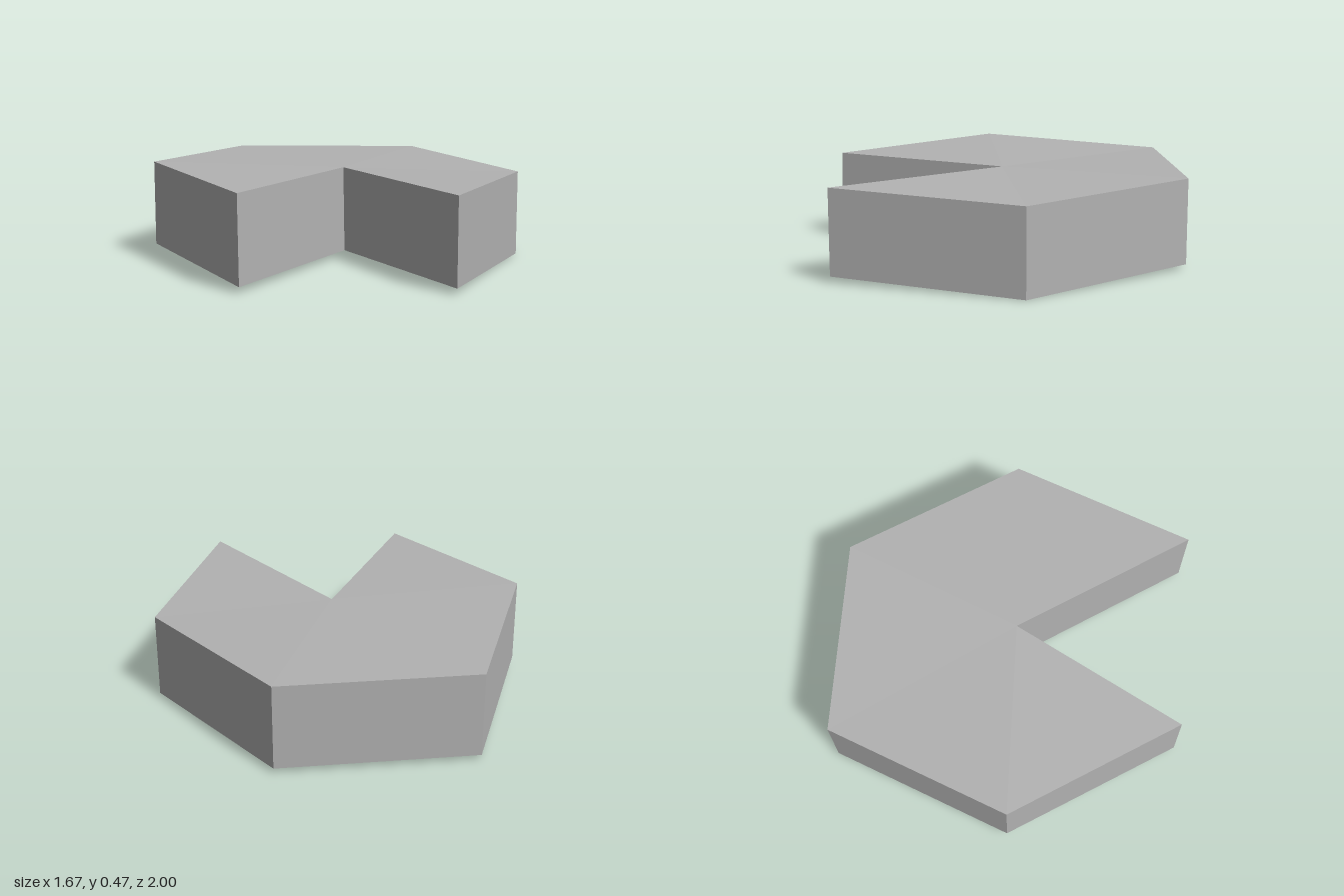
import * as THREE from 'three';

// Outline corners, clockwise from above: x, top z, bottom z, bottom y, top y.
// The first corner is the inner one, where the wedge is cut to the centre.
const corners = [
  [0.025, 0.03, 0.045, 0.025, 0.445],
  [-0.73, 0.575, 0.587, 0.03, 0.45],
  [-0.835, -0.36, -0.36, 0.055, 0.472],
  [-0.135, -1, -1, 0.023, 0.44],
  [0.725, -0.59, -0.59, 0.022, 0.44],
  [0.835, 0.36, 0.36, 0, 0.42],
  [0.14, 1, 1, 0.03, 0.446],
];

function makeMesh(name, triangles, material) {
  const geometry = new THREE.BufferGeometry();
  geometry.setAttribute('position', new THREE.Float32BufferAttribute(triangles.flat(2), 3));
  geometry.computeVertexNormals();
  const mesh = new THREE.Mesh(geometry, material);
  mesh.name = name;
  return mesh;
}

export function createModel() {
  const group = new THREE.Group();
  group.name = 'notchedHexagonSlab';
  const grey = new THREE.MeshStandardMaterial({ color: 0xb2b2b2, flatShading: true });
  grey.name = 'plain grey';

  const top = corners.map(([x, zTop, , , yTop]) => [x, yTop, zTop]);
  const bottom = corners.map(([x, , zBottom, yBottom]) => [x, yBottom, zBottom]);
  const n = corners.length;
  const topFace = [], bottomFace = [], walls = [];

  for (let i = 0; i < n; i++) {
    const j = (i + 1) % n;
    walls.push([bottom[j], bottom[i], top[i]], [bottom[j], top[i], top[j]]);
    // Both caps fan out from the inner corner
    if (i !== 0 && j !== 0) {
      topFace.push([top[0], top[j], top[i]]);
      bottomFace.push([bottom[0], bottom[i], bottom[j]]);
    }
  }

  group.add(
    makeMesh('topFace', topFace, grey),
    makeMesh('bottomFace', bottomFace, grey),
    makeMesh('sideWalls', walls, grey),
  );
  return group;
}
